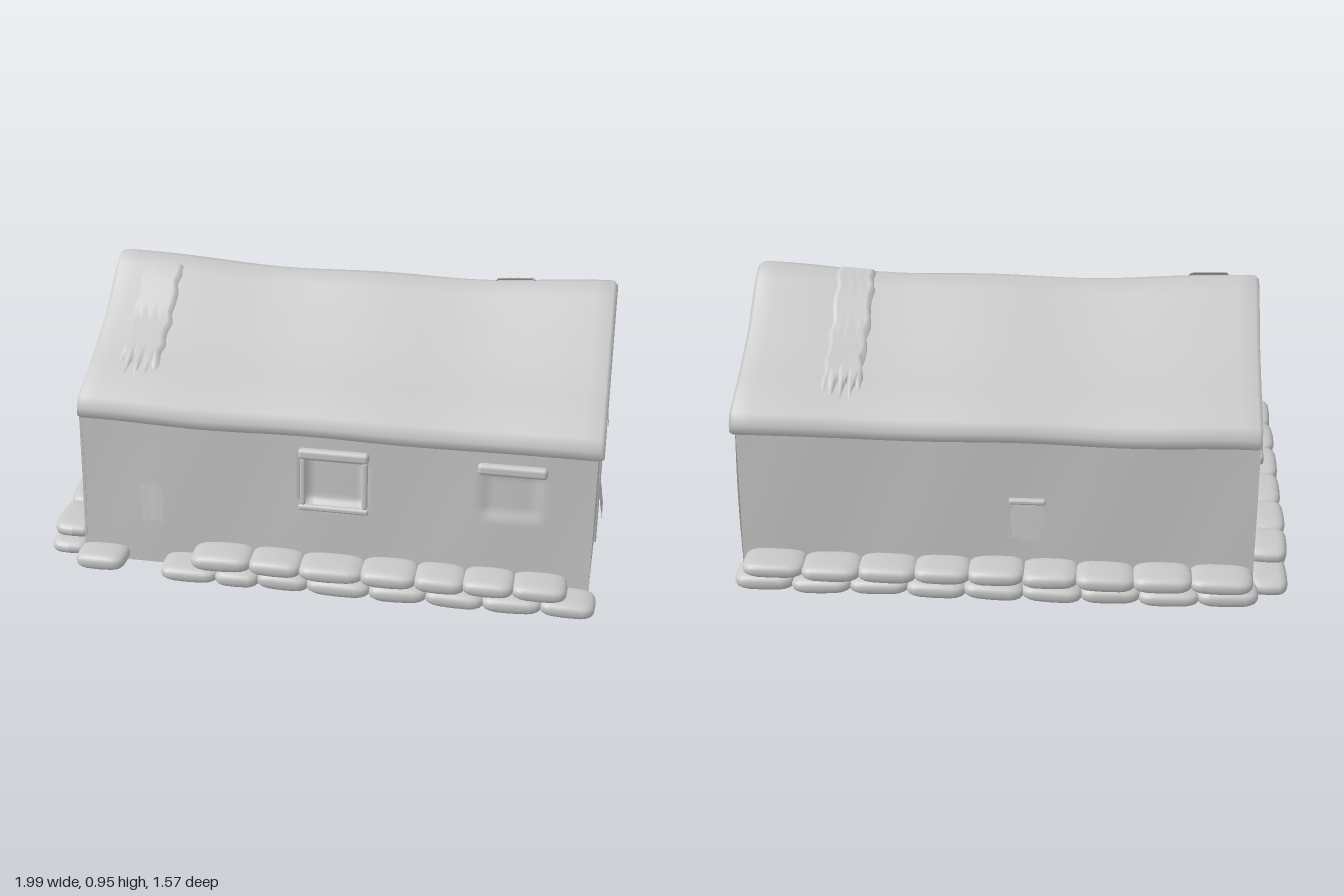
import * as THREE from 'three';
import { RoundedBoxGeometry } from 'three/addons/geometries/RoundedBoxGeometry.js';

const clay = new THREE.MeshStandardMaterial({ color: 0xc8c8c8, side: THREE.DoubleSide });
clay.name = 'grey canvas';

let seed = 7;
const rand = () => (seed = (seed * 16807) % 2147483647) / 2147483647;
const lerp = THREE.MathUtils.lerp;
const step = THREE.MathUtils.smoothstep;

function add(parent, name, geometry, x = 0, y = 0, z = 0, roll = 0) {
  const mesh = new THREE.Mesh(geometry, clay);
  mesh.name = name;
  mesh.position.set(x, y, z);
  mesh.rotation.z = roll;
  parent.add(mesh);
  return mesh;
}

// Grid surface from a rule f(i, j) -> [x, y, z]
function sheet(nu, nv, f) {
  const pos = [], idx = [];
  for (let j = 0; j <= nv; j++) for (let i = 0; i <= nu; i++) pos.push(...f(i, j));
  for (let j = 0; j < nv; j++) for (let i = 0; i < nu; i++) {
    const a = j * (nu + 1) + i, c = a + nu + 1;
    idx.push(a, a + 1, c, a + 1, c + 1, c);
  }
  const g = new THREE.BufferGeometry();
  g.setAttribute('position', new THREE.Float32BufferAttribute(pos, 3));
  g.setIndex(idx);
  g.computeVertexNormals();
  return g;
}

// Half roof sections as [z, y], eave to ridge
const OUTER = [[.612, .56], [.635, .565], [.637, .6], [.615, .64], [.45, .7], [.24, .79], [.07, .92], [0, .945]];
const INNER = [[.605, .565], [.61, .575], [.605, .595], [.59, .61], [.45, .655], [.24, .75], [.07, .865], [0, .9]];
const mirror = h => [...h, ...h.slice(0, -1).reverse().map(([z, y]) => [-z, y])];

// Sagging ridge and slightly wavy eaves
function sag(x, y, z) {
  const w = (y - .56) / .39, t = (x - .05) / .93;
  return [x, y - w * .033 * (1 - t * t) + .004 * Math.sin(8 * x + 1), z + Math.sign(z) * .005 * Math.sin(9 * x)];
}

// Interpolate a table of [key, value] whose keys fall
function lookup(table, k) {
  for (let i = 1; i < table.length; i++) {
    const [a, va] = table[i - 1], [b, vb] = table[i];
    if (k >= b) return lerp(va, vb, THREE.MathUtils.clamp((a - k) / (a - b), 0, 1));
  }
  return table[table.length - 1][1];
}

function roofGeometry() {
  const o = mirror(OUTER), n = mirror(INNER), ring = [[-.865, .35]];
  for (let i = 0; i <= 30; i++) ring.push([lerp(-.85, .965, i / 30), 0]);
  ring.push([.98, .35], [.975, .8]);
  for (let i = 30; i >= 0; i--) ring.push([lerp(-.85, .955, i / 30), 1]);
  ring.push([-.865, .7], ring[0]);
  return sheet(ring.length - 1, o.length - 1, (i, j) => {
    const [x, m] = ring[i];
    return sag(x, lerp(o[j][1], n[j][1], m), lerp(o[j][0], n[j][0], m));
  });
}

// Frayed repair strip lying on a roof slope
function roofPatch(x0, x1, z0, z1) {
  const keys = OUTER.slice(3);
  return sheet(14, 12, (i, j) => {
    const x = lerp(x0, x1, i / 14) + .006 * Math.sin(j * 2.3);
    const fray = 1 - (i % 3) * .05 - .05 * Math.sin(i * 1.7);
    const z = lerp(z0, z1, (j / 12) * fray);
    const lift = i === 0 || i === 14 || j === 12 ? 0 : .012;
    return sag(x, lookup(keys, Math.abs(z)) + lift, z);
  });
}

// 1 inside a rectangle, fading to 0 over its soft edge
const area = (x, y, x0, x1, y0, y1, e = .02) =>
  step(x, x0 - e, x0 + e) * (1 - step(x, x1 - e, x1 + e)) * step(y, y0 - e, y0 + e) * (1 - step(y, y1 - e, y1 + e));

function longWall(side) {
  return sheet(110, 36, (i, j) => {
    const x = lerp(-.86, .96, i / 110), y = lerp(.01, .6, j / 36);
    let d = .005 * Math.sin(11 * x + side) * Math.sin(y * 5);
    if (side > 0) d -= .03 * area(x, y, -.05, .16, .3, .48, .01) + .012 * area(x, y, .58, .77, .32, .48);
    return [side * x, y, side * (.66 - .07 * y + d)];
  });
}

// Half width of an end wall at height y
const GABLE = [[.9, 0], [.865, .07], [.75, .24], [.655, .45], [.61, .6], [.57, .62], [0, .66]];
const slit = y => .042 * Math.max(0, 1 - y / .43);

function endWall(from, to, x, facing) {
  return sheet(36, 60, (i, j) => {
    const y = lerp(.01, .9, j / 60), z = lerp(from(y), to(y), i / 36);
    const fold = .006 * Math.sin(z * 17) * Math.sin(Math.min(y, .6) * 5);
    return sag(x + facing * fold, y, 0).slice(0, 2).concat(z);
  });
}

// Pillow shaped sandbag
function sandbag(w, h, d) {
  const g = new THREE.SphereGeometry(1, 20, 14), p = g.attributes.position;
  const puff = (v, e) => Math.sign(v) * Math.abs(v) ** e;
  for (let i = 0; i < p.count; i++) {
    const x = puff(p.getX(i), .5), z = puff(p.getZ(i), .5), y = puff(p.getY(i), .8);
    p.setXYZ(i, x * w / 2, y * h / 2 * (1 - .12 * x * x), z * d / 2);
  }
  g.computeVertexNormals();
  return g;
}

// Row of bags between successive edges, along x or z
function bagRow(parent, name, edges, y, across, alongZ) {
  for (let i = 1; i < edges.length; i++) {
    const a = edges[i - 1], b = edges[i], c = (a + b) / 2;
    const bag = add(parent, name, sandbag(b - a + .015, .062 + rand() * .006, .14 + rand() * .015));
    const off = across + (rand() - .5) * .012;
    bag.position.set(alongZ ? off : c, y + rand() * .006, alongZ ? c : off);
    bag.rotation.set(0, (alongZ ? Math.PI / 2 : 0) + (rand() - .5) * .06, (rand() - .5) * .06);
  }
}
const evenly = (a, b, n) => Array.from({ length: n + 1 }, (_, i) => lerp(a, b, i / n));

const bar = (w, h, d) => new RoundedBoxGeometry(w, h, d, 2, Math.min(w, h, d) * .4);

// Raised window surround with a rolled flap over it
function windowFrame(parent, x, y, w, h, framed) {
  add(parent, 'windowFlapRoll', bar(w + .03, .04, .035), x, y + h / 2 + .02, .008);
  if (!framed) return;
  add(parent, 'windowSill', bar(w + .03, .022, .022), x, y - h / 2 - .01, .004);
  for (const s of [-1, 1]) add(parent, 'windowSide', bar(.02, h, .018), x + s * w / 2, y, .002);
}

// Small sewn patch with a loose lower edge
function clothPatch(parent, x, y, w, h, roll) {
  const g = sheet(6, 6, (i, j) => [
    (i / 6 - .5) * w * (1 - .12 * Math.sin(j * 1.3)), (j / 6 - .5) * h + .008 * Math.sin(i * 2),
    .01 + .014 * (1 - j / 6)]);
  add(parent, 'clothPatch', g, x, y, 0, roll);
}

// Group whose local z points out of a wall
function wallSpace(parent, name, x, z, turn, lean) {
  const g = new THREE.Group();
  g.name = name;
  g.position.set(x, 0, z);
  g.rotation.set(-lean, turn, 0, 'YXZ');
  parent.add(g);
  return g;
}

export function createModel() {
  const tent = new THREE.Group();
  tent.name = 'tent';

  // Canvas shell
  add(tent, 'roof', roofGeometry());
  add(tent, 'frontWall', longWall(1));
  add(tent, 'backWall', longWall(-1)).scale.x = -1;
  tent.children[2].geometry.scale(1, 1, 1);
  const half = y => lookup(GABLE, y);
  add(tent, 'doorWallFront', endWall(half, slit, .96, 1));
  add(tent, 'doorWallBack', endWall(y => -slit(y), y => -half(y), .96, 1));
  add(tent, 'closedEndWall', endWall(y => -half(y), half, -.855, -1));
  add(tent, 'frontRoofPatch', roofPatch(-.76, -.61, .05, .48));
  add(tent, 'backRoofPatch', roofPatch(.54, .68, 0, -.52));

  // Front and back wall details
  const front = wallSpace(tent, 'frontDetails', 0, .66, 0, .07);
  windowFrame(front, .055, .39, .22, .18, true);
  windowFrame(front, .675, .4, .21, .16, false);
  clothPatch(front, -.6, .26, .08, .14, .05);
  const back = wallSpace(tent, 'backDetails', 0, -.66, Math.PI, .07);
  clothPatch(back, .06, .27, .11, .14, -.05);
  add(back, 'patchBar', bar(.13, .02, .025), .06, .34, .005);

  // Closed end window
  const end = wallSpace(tent, 'closedEndDetails', -.857, 0, -Math.PI / 2, 0);
  windowFrame(end, -.4, .35, .2, .18, true);

  // Doorway trim
  const door = wallSpace(tent, 'doorDetails', .962, 0, Math.PI / 2, 0);
  add(door, 'doorLintel', bar(.53, .035, .022), -.01, .618, .002, .02);
  add(door, 'doorPost', bar(.045, .59, .016), -.25, .31, .002);
  add(door, 'doorPost', bar(.035, .44, .016), .21, .39, .002);
  clothPatch(door, -.38, .27, .09, .11, .25);
  clothPatch(door, .36, .22, .08, .09, -.35);

  // Sandbag border, two courses
  const bags = new THREE.Group();
  bags.name = 'sandbags';
  tent.add(bags);
  const LOW = .032, HIGH = .083;
  bagRow(bags, 'frontLowerBag', [-.55, -.35, -.2, -.02, .2, .4, .6, .8, .98], LOW, .705);
  bagRow(bags, 'frontUpperBag', [-.44, -.23, -.05, .17, .36, .53, .7, .88], HIGH, .7);
  bagRow(bags, 'frontCornerBag', [-.87, -.7], LOW, .685);
  bagRow(bags, 'backLowerBag', evenly(-.87, .97, 9), LOW, -.705);
  bagRow(bags, 'backUpperBag', [-.85, -.64, -.44, -.24, -.05, .14, .33, .53, .73, .94], HIGH, -.705);
  bagRow(bags, 'endLowerBag', evenly(-.69, .67, 7), LOW, -.918, true);
  bagRow(bags, 'endUpperBag', [-.55, -.38, -.18, .03, .24, .44, .64], HIGH, -.918, true);
  return tent;
}
